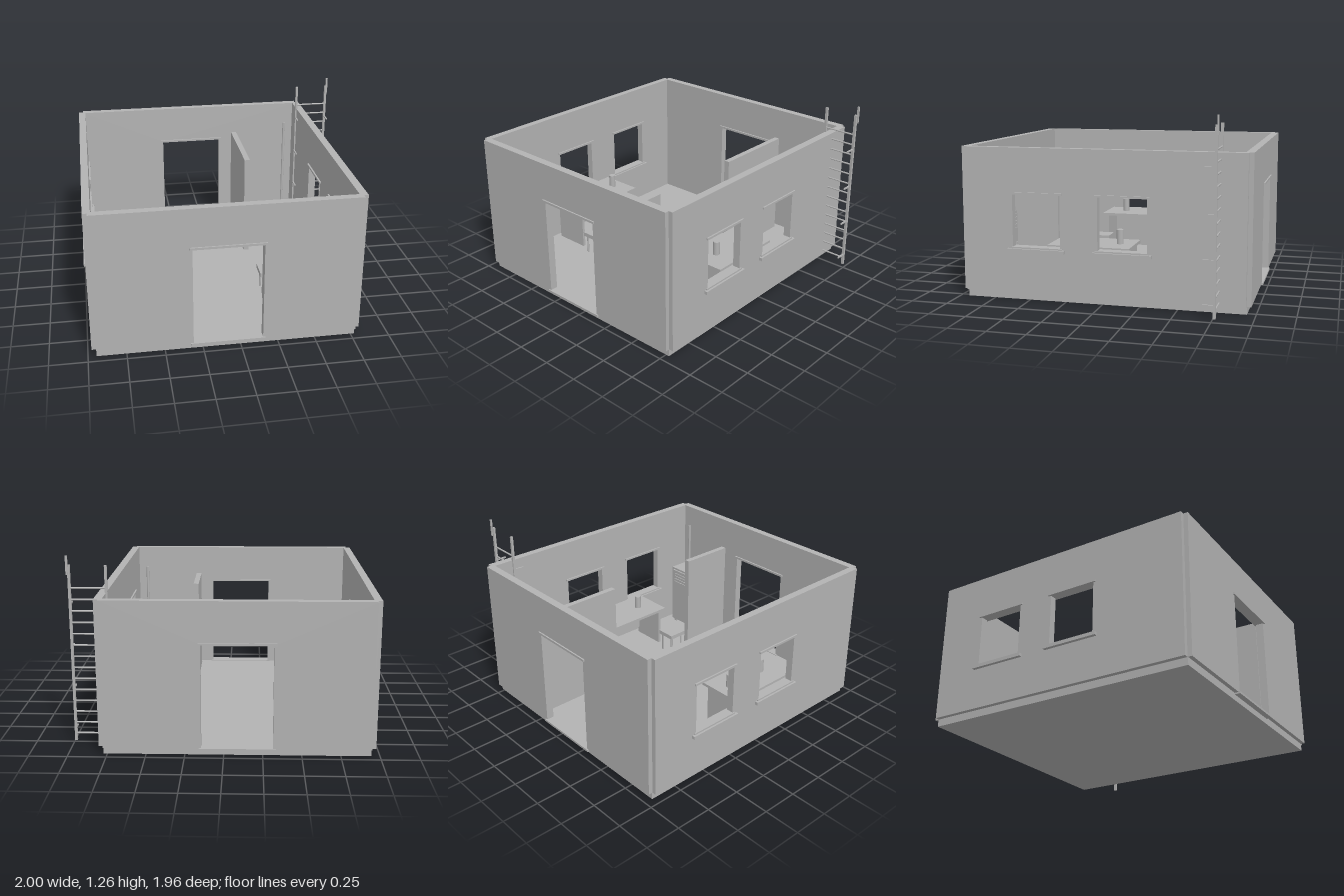
import * as THREE from 'three';

const grey = new THREE.MeshStandardMaterial({ color: 0xb2b2b2 });
grey.name = 'plain grey';

function add(parent, name, geometry) {
  const mesh = new THREE.Mesh(geometry, grey);
  mesh.name = name;
  parent.add(mesh);
  return mesh;
}

// Box given by its limits on each axis
function box(parent, name, x0, x1, y0, y1, z0, z1) {
  const mesh = add(parent, name, new THREE.BoxGeometry(x1 - x0, y1 - y0, z1 - z0));
  mesh.position.set((x0 + x1) / 2, (y0 + y1) / 2, (z0 + z1) / 2);
  return mesh;
}

function cylinder(parent, name, r, x, y0, y1, z, sides = 12) {
  const mesh = add(parent, name, new THREE.CylinderGeometry(r, r, y1 - y0, sides));
  mesh.position.set(x, (y0 + y1) / 2, z);
  return mesh;
}

function group(parent, name) {
  const g = new THREE.Group();
  g.name = name;
  parent.add(g);
  return g;
}

// Rectangular path, counter-clockwise
function rect(path, u0, u1, v0, v1) {
  path.moveTo(u0, v0);
  path.lineTo(u1, v0);
  path.lineTo(u1, v1);
  path.lineTo(u0, v1);
  path.closePath();
  return path;
}

// Wall slab with rectangular openings [u0, u1, v0, v1]
function wallGeometry(u0, u1, openings, depth) {
  const shape = rect(new THREE.Shape(), u0, u1, 0.05, 1.02);
  for (const o of openings) shape.holes.push(rect(new THREE.Path(), ...o));
  return new THREE.ExtrudeGeometry(shape, { depth, bevelEnabled: false });
}

function addWalls(root) {
  const walls = group(root, 'walls');

  // Front and back walls, each with a doorway
  for (const s of [1, -1]) {
    const side = s > 0 ? 'front' : 'back';
    const wall = add(walls, side + 'Wall', wallGeometry(-0.945, 0.775, [[-0.315, 0.145, 0.055, 0.74]], 0.053));
    wall.position.z = s > 0 ? 0.917 : -0.97;
    const z0 = s > 0 ? 0.905 : -0.98;
    box(walls, side + 'DoorHead', -0.333, 0.16, 0.74, 0.755, z0, z0 + 0.075);
    box(walls, side + 'DoorThreshold', -0.333, 0.16, 0.04, 0.055, z0, z0 + 0.075);
  }

  // Side walls, each with two windows
  const sides = [
    { name: 'left', s: 1, outer: 0.805, inner: 0.752, windows: [0.442, -0.14] },
    { name: 'right', s: -1, outer: -0.975, inner: -0.925, windows: [-0.437, 0.141] },
  ];
  for (const { name, s, outer, inner, windows } of sides) {
    const openings = windows.map((c) => [c - 0.164, c + 0.164, 0.352, 0.713]);
    const geometry = wallGeometry(-0.94, 0.94, openings, Math.abs(outer - inner));
    geometry.rotateY(-Math.PI / 2);
    add(walls, name + 'Wall', geometry).position.x = Math.max(outer, inner);
    for (const c of windows) {
      const trim = (part, out, into, y0, y1, half) => {
        const a = outer + s * out, b = inner - s * into;
        box(walls, part, Math.min(a, b), Math.max(a, b), y0, y1, c - half, c + half);
      };
      trim('windowHead', 0.011, 0.012, 0.713, 0.727, 0.182);
      trim('windowSill', 0.023, 0.022, 0.33, 0.352, 0.197);
      trim('windowSillLip', 0.009, 0.01, 0.352, 0.362, 0.18);
    }
  }
}

function addLadder(root) {
  const ladder = group(root, 'ladder');
  box(ladder, 'outerRail', 0.974, 0.991, 0.02, 1.2, -0.777, -0.76);
  box(ladder, 'innerRail', 0.741, 0.757, 0.02, 1.2, -0.777, -0.76);
  box(ladder, 'railExtension', 0.986, 1, 1.14, 1.26, -0.784, -0.773);
  for (let i = 0; i < 14; i++) {
    const y = 0.071 + i * 0.0755;
    const rung = add(ladder, 'rung', new THREE.CylinderGeometry(0.006, 0.006, 0.234, 8));
    rung.rotation.z = Math.PI / 2;
    rung.position.set(0.858, y, -0.769);
  }
  for (const y of [0.1, 0.38, 0.66, 0.945]) {
    for (const x of [0.979, 0.741]) box(ladder, 'bracket', x, x + 0.01, y - 0.005, y + 0.005, -0.765, -0.692);
  }
}

// Desk with its far edge by the wall; s is the side of the room
function addDesk(root, s, far, near) {
  const desk = group(root, 'desk');
  const span = (name, a, b, ...rest) => box(desk, name, Math.min(a, b), Math.max(a, b), ...rest);
  span('deskTop', far, near, 0.35, 0.37, -0.168, 0.39);
  span('endPanel', far - s * 0.02, near + s * 0.04, 0.05, 0.35, 0.355, 0.375);
  span('endPanel', far - s * 0.02, near + s * 0.04, 0.05, 0.35, -0.153, -0.133);
  span('backPanel', far - s * 0.02, far - s * 0.035, 0.1, 0.35, -0.133, 0.355);
  for (const z of [-0.067, 0.238]) cylinder(desk, 'canister', 0.024, (far + near) / 2, 0.37, 0.467, z);
}

function addStool(root, x) {
  const stool = group(root, 'stool');
  box(stool, 'seat', x - 0.072, x + 0.072, 0.19, 0.22, 0.291, 0.433);
  for (const dx of [-0.05, 0.05]) {
    for (const dz of [-0.05, 0.05]) cylinder(stool, 'stoolLeg', 0.007, x + dx, 0.05, 0.19, 0.362 + dz, 8);
  }
}

function addLocker(root, x) {
  const locker = group(root, 'locker');
  box(locker, 'lockerBody', x - 0.112, x + 0.112, 0.07, 0.545, 0.714, 0.874);
  box(locker, 'lockerDoor', x - 0.093, x + 0.093, 0.09, 0.53, 0.702, 0.714);
  for (const dx of [-0.08, 0.08]) box(locker, 'lockerFoot', x + dx - 0.014, x + dx + 0.014, 0.05, 0.07, 0.72, 0.884);
  for (let i = 0; i < 4; i++) {
    const y = 0.425 + i * 0.024;
    box(locker, 'vent', x - 0.07, x + 0.07, y, y + 0.01, 0.695, 0.702);
  }
  box(locker, 'handle', x - 0.072, x - 0.058, 0.27, 0.33, 0.692, 0.702);
}

export function createModel() {
  const root = new THREE.Group();
  root.name = 'building';

  // Floor slab and walls
  box(root, 'floorSlab', -0.945, 0.775, 0, 0.05, -0.943, 0.943);
  addWalls(root);

  // Inner partitions, either side of a passage
  box(root, 'backPartition', 0.238, 0.278, 0.05, 0.81, -0.876, -0.255);
  box(root, 'frontPartition', 0.238, 0.278, 0.05, 0.81, 0.473, 0.876);

  // Upright pipes against the end walls
  for (const z of [-0.904, 0.904]) cylinder(root, 'pipe', 0.011, 0.684, 0.05, 0.86, z);

  // Furniture on both sides of the room
  addDesk(root, 1, 0.733, 0.417);
  addDesk(root, -1, -0.906, -0.588);
  for (const x of [0.305, -0.481]) addStool(root, x);
  for (const x of [0.572, -0.743]) addLocker(root, x);

  addLadder(root);
  return root;
}
